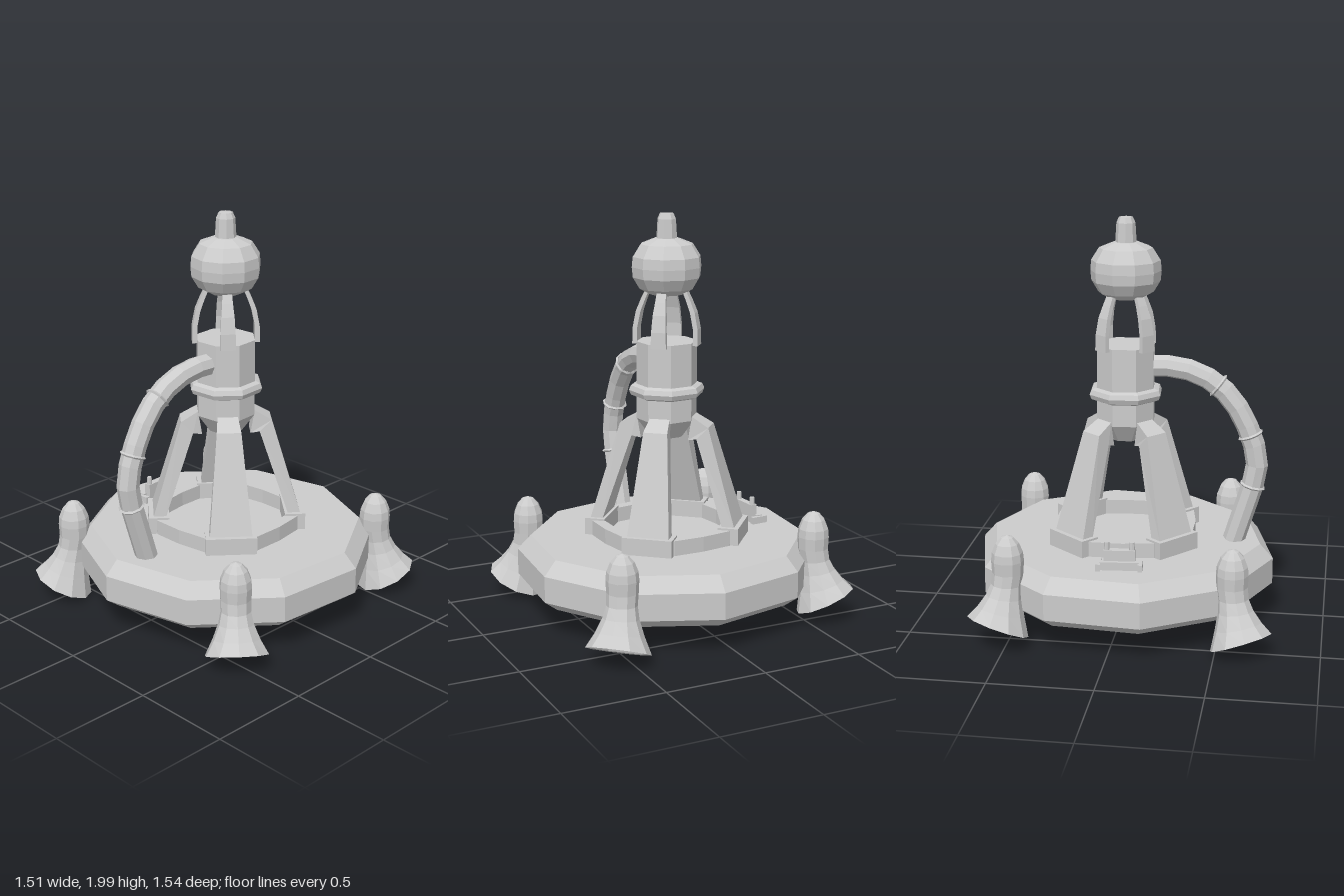
import * as THREE from 'three';

const mat = new THREE.MeshStandardMaterial({ color: 0xcccccc, flatShading: true, side: THREE.DoubleSide });
const TURN = THREE.MathUtils.degToRad(4.7); // whole structure is turned slightly

function add(parent, name, geo, x = 0, y = 0, z = 0) {
  const m = new THREE.Mesh(geo, mat);
  m.name = name;
  m.position.set(x, y, z);
  parent.add(m);
  return m;
}

// Revolved profile of [radius, y] pairs, listed bottom to top
function lathe(profile, sides, start = 0) {
  return new THREE.LatheGeometry(profile.map(p => new THREE.Vector2(p[0], p[1])), sides, start);
}

// Four-sided bar facing +z; each section is [outer y, outer z, inner y, inner z, half width]
function bar(sections) {
  const pos = [], idx = [];
  for (const [yo, zo, yi, zi, w] of sections) pos.push(-w, yo, zo, w, yo, zo, w, yi, zi, -w, yi, zi);
  for (let i = 0; i < sections.length - 1; i++) {
    for (let j = 0; j < 4; j++) {
      const a = i * 4 + j, b = i * 4 + (j + 1) % 4;
      idx.push(a, b, a + 4, b, b + 4, a + 4);
    }
  }
  const t = (sections.length - 1) * 4;
  idx.push(0, 3, 2, 0, 2, 1, t, t + 1, t + 2, t, t + 2, t + 3);
  const g = new THREE.BufferGeometry();
  g.setAttribute('position', new THREE.Float32BufferAttribute(pos, 3));
  g.setIndex(idx);
  g.computeVertexNormals();
  return g;
}

// Thruster pod: upright body whose bell bends outward (+z) toward its rim
function thrusterGeometry() {
  const g = lathe([
    [0, 0.21], [0.06, 0.19], [0.142, 0.078], [0.155, 0.075], [0.115, 0.15], [0.086, 0.22], [0.073, 0.28],
    [0.075, 0.34], [0.078, 0.4], [0.074, 0.44], [0.056, 0.485], [0.03, 0.515], [0, 0.526],
  ], 10);
  const p = g.attributes.position;
  for (let i = 0; i < p.count; i++) {
    const y = p.getY(i), z = p.getZ(i);
    const s = THREE.MathUtils.clamp((0.32 - y) / 0.245, 0, 1);
    const a = 0.45 * s;
    p.setY(i, y + z * Math.sin(a));
    p.setZ(i, z * Math.cos(a) + 0.065 * s);
  }
  g.computeVertexNormals();
  return g;
}

// Eight-sided link ring between the feet
function linkRingGeometry() {
  const ring = (rCorner, rMid) => {
    const pts = [];
    for (let k = 0; k < 4; k++) {
      for (const [deg, r] of [[-25, rCorner], [0, rMid], [25, rCorner]]) {
        const a = THREE.MathUtils.degToRad(k * 90 + deg);
        pts.push(new THREE.Vector2(Math.cos(a) * r, Math.sin(a) * r));
      }
    }
    return pts;
  };
  const shape = new THREE.Shape(ring(0.375, 0.352));
  shape.holes.push(new THREE.Path(ring(0.315, 0.295)));
  const g = new THREE.ExtrudeGeometry(shape, { depth: 0.08, bevelEnabled: false });
  return g.rotateX(-Math.PI / 2);
}

export function createModel() {
  const model = new THREE.Group();
  model.name = 'station';
  const core = new THREE.Group();
  core.name = 'core';
  core.position.set(0.015, 0, -0.005);
  model.add(core);

  // Ten-sided platform
  add(core, 'platform', lathe([
    [0, 0.127], [0.53, 0.128], [0.68, 0.138], [0.75, 0.19], [0.75, 0.32], [0.685, 0.39], [0, 0.39],
  ], 10, -TURN));

  // Tower, collar, ball and tip
  const tower = new THREE.Group();
  tower.name = 'tower';
  tower.rotation.y = TURN;
  core.add(tower);
  add(tower, 'column', lathe([
    [0, 0.9], [0.085, 0.9], [0.15, 0.99], [0.15, 1.375], [0, 1.375],
  ], 8, Math.PI / 8));
  const collar = new THREE.TorusGeometry(0.155, 0.033, 8, 8).rotateX(Math.PI / 2).rotateY(Math.PI / 8);
  add(tower, 'collar', collar, 0, 1.133);
  add(tower, 'ball', lathe([
    [0, 1.605], [0.08, 1.605], [0.135, 1.635], [0.168, 1.69], [0.173, 1.74],
    [0.168, 1.79], [0.13, 1.85], [0.06, 1.878], [0, 1.88],
  ], 10));
  add(tower, 'tip', lathe([[0.052, 1.87], [0.046, 1.97], [0.034, 1.997], [0, 2]], 8));
  add(tower, 'linkRing', linkRingGeometry(), 0, 0.385, 0);

  // Four legs with feet, and four curved struts under the ball
  const foot = bar([[0.385, 0.392, 0.385, 0.29, 0.125], [0.475, 0.392, 0.475, 0.29, 0.125]]);
  const leg = bar([
    [0.46, 0.372, 0.46, 0.31, 0.105], [0.96, 0.225, 0.9, 0.165, 0.06], [1.01, 0.14, 0.89, 0.12, 0.05],
  ]);
  const strut = bar([
    [1.36, 0.165, 1.36, 0.14, 0.038], [1.44, 0.163, 1.44, 0.14, 0.036], [1.52, 0.148, 1.52, 0.124, 0.032],
    [1.58, 0.124, 1.58, 0.102, 0.026], [1.64, 0.096, 1.64, 0.076, 0.022],
  ]);
  for (let i = 0; i < 4; i++) {
    const side = new THREE.Group();
    side.name = 'supportGroup';
    side.rotation.y = Math.PI / 4 + i * Math.PI / 2;
    tower.add(side);
    add(side, 'foot', foot);
    add(side, 'leg', leg);
    add(side, 'strut', strut);
  }

  // Thruster pods around the rim
  const pod = thrusterGeometry();
  for (const [x, y, z] of [[-0.49, 0, 0.575], [0.575, 0, 0.48], [0.52, 0, -0.58], [-0.55, 0.035, -0.49]]) {
    add(model, 'thruster', pod, x, y, z).rotation.y = Math.atan2(x, z);
  }

  // Hose from the column down to the platform, with clamp rings
  const path = new THREE.CatmullRomCurve3([
    [1.267, 0.1], [1.267, 0.23], [1.235, 0.36], [1.16, 0.475], [1.06, 0.555], [0.95, 0.608],
    [0.81, 0.648], [0.69, 0.632], [0.55, 0.59], [0.385, 0.54],
  ].map(([y, z]) => new THREE.Vector3(0.021, y, z)));
  add(model, 'hose', new THREE.TubeGeometry(path, 12, 0.055, 8));
  const clamp = new THREE.TorusGeometry(0.057, 0.008, 4, 10);
  for (const t of [0.3, 0.54, 0.755]) {
    const p = path.getPointAt(t);
    const ring = add(model, 'hoseClamp', clamp, p.x, p.y, p.z);
    ring.lookAt(p.clone().add(path.getTangentAt(t)));
  }

  // Small control console on the platform
  const consoleGroup = new THREE.Group();
  consoleGroup.name = 'console';
  consoleGroup.position.set(-0.47, 0.39, 0.035);
  consoleGroup.rotation.y = TURN;
  model.add(consoleGroup);
  add(consoleGroup, 'consoleBody', new THREE.BoxGeometry(0.035, 0.095, 0.15), 0.01, 0.045, 0);
  add(consoleGroup, 'consolePlate', new THREE.BoxGeometry(0.03, 0.04, 0.19), -0.012, 0.02, 0);
  for (const s of [-1, 1]) {
    add(consoleGroup, 'consoleFoot', new THREE.BoxGeometry(0.085, 0.035, 0.022), -0.005, 0.018, s * 0.1);
    add(consoleGroup, 'knob', new THREE.CylinderGeometry(0.012, 0.014, 0.045, 8), 0.012, 0.108, s * 0.06);
  }
  return model;
}
